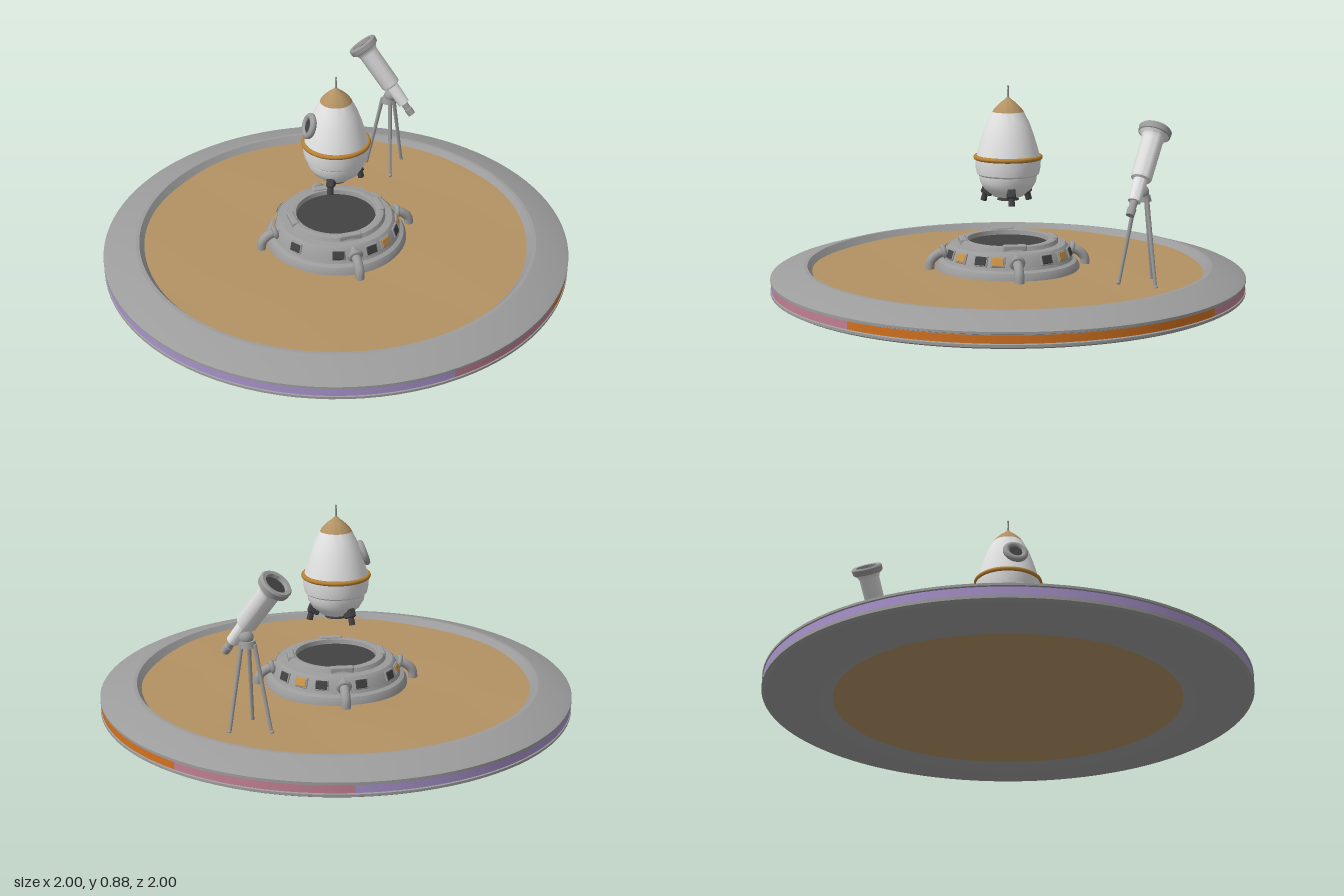
import * as THREE from 'three';
import { toCreasedNormals } from 'three/addons/utils/BufferGeometryUtils.js';
import { RoundedBoxGeometry } from 'three/addons/geometries/RoundedBoxGeometry.js';

const mat = (name, color, side = THREE.FrontSide) => {
  const m = new THREE.MeshStandardMaterial({ color, side });
  m.name = name;
  return m;
};
const rad = THREE.MathUtils.degToRad;

export function createModel() {
  const root = new THREE.Group();
  root.name = 'moonBase';
  const grey = mat('grey metal', 0x9c9c9c);
  const white = mat('white paint', 0xe2e2e2);
  const tan = mat('sand', 0xb39263);
  const dark = mat('dark glass', 0x424242);
  const gold = mat('gold trim', 0xb98235);
  const amber = mat('lit window', 0xc99447);
  const orange = mat('orange light', 0xd2711f);
  const pink = mat('pink light', 0xc17f90);
  const purple = mat('purple light', 0xa792cb);

  const add = (parent, name, geo, material, pos = [0, 0, 0]) => {
    const m = new THREE.Mesh(geo, material);
    m.name = name;
    m.position.set(...pos);
    parent.add(m);
    return m;
  };
  const group = (parent, name) => {
    const g = new THREE.Group();
    g.name = name;
    parent.add(g);
    return g;
  };
  const lathe = (pts, seg = 48, crease = 0.5) => toCreasedNormals(
    new THREE.LatheGeometry(pts.map(p => new THREE.Vector2(...p)), seg), crease);
  // Straight rod between two points
  const rod = (parent, name, a, b, r0, r1, material) => {
    const A = new THREE.Vector3(...a), B = new THREE.Vector3(...b);
    const m = add(parent, name, new THREE.CylinderGeometry(r1, r0, A.distanceTo(B), 10), material);
    m.position.copy(A).lerp(B, 0.5);
    m.quaternion.setFromUnitVectors(new THREE.Vector3(0, 1, 0), B.sub(A).normalize());
    return m;
  };

  // Platform rim with a groove around its edge
  const platform = group(root, 'platform');
  add(platform, 'rim', lathe([
    [0.70, 0.035], [0.77, 0], [0.82, 0.002], [0.985, 0.026], [1, 0.034], [1, 0.044],
    [0.992, 0.047], [0.992, 0.08], [1, 0.083], [1, 0.092], [0.985, 0.1],
    [0.86, 0.137], [0.845, 0.137], [0.815, 0.1],
  ], 96, 0.25), grey);

  // Light strips in the groove, angles measured from the front towards the left
  [[orange, 45, 135], [pink, 10, 45], [pink, 135, 177], [purple, 177, 370]].forEach(([m, a, b]) =>
    add(platform, 'lightStrip', new THREE.CylinderGeometry(0.997, 0.997, 0.031, Math.ceil((b - a) / 3), 1, true,
      rad(a), rad(b - a)), m, [0, 0.0635, 0]));

  // Gently rolling sand
  const sand = new THREE.RingGeometry(0.001, 0.826, 80, 18);
  sand.rotateX(-Math.PI / 2);
  const p = sand.attributes.position;
  for (let i = 0; i < p.count; i++) {
    const x = p.getX(i), z = p.getZ(i);
    p.setY(i, 0.112 + 0.004 * Math.sin(5 * x + 2 * z) * Math.cos(7 * z - 3 * x));
  }
  sand.computeVertexNormals();
  add(platform, 'sandSurface', sand, tan);
  const under = new THREE.CircleGeometry(0.72, 72);
  under.rotateX(Math.PI / 2);
  add(platform, 'underside', under, tan, [0, 0.028, 0]);

  // Landing base with an open top
  const base = group(root, 'landingBase');
  add(base, 'shell', lathe([
    [0.305, 0.1], [0.303, 0.125], [0.292, 0.143], [0.275, 0.15], [0.268, 0.165], [0.255, 0.204],
    [0.242, 0.215], [0.212, 0.218], [0.204, 0.234], [0.19, 0.238], [0.172, 0.234], [0.166, 0.19],
  ], 56, 0.6), grey);
  const well = new THREE.CircleGeometry(0.17, 48);
  well.rotateX(-Math.PI / 2);
  add(base, 'wellFloor', well, dark, [0, 0.215, 0]);

  const windowGeo = new RoundedBoxGeometry(0.05, 0.036, 0.009, 2, 0.004);
  const frameGeo = new RoundedBoxGeometry(0.06, 0.046, 0.009, 2, 0.004);
  const addWindow = (deg, m) => {
    const g = group(base, 'window');
    g.rotation.y = rad(deg);
    const frame = add(g, 'windowFrame', frameGeo, grey, [0, 0.185, 0.262]);
    const pane = add(g, 'windowPane', windowGeo, m, [0, 0.186, 0.265]);
    frame.rotation.x = pane.rotation.x = -0.32;
  };
  [-57, -15, 17, 57, 119, 160, 196, 231].forEach(a => addWindow(a, dark));
  [35, 73, 140, 250].forEach(a => addWindow(a, amber));

  // Curved support pipes and rim clamps, one on each side
  const pipeCurve = new THREE.CatmullRomCurve3([
    [0.335, 0.1], [0.328, 0.145], [0.3, 0.172], [0.262, 0.185], [0.225, 0.2],
  ].map(([z, y]) => new THREE.Vector3(0, y, z)));
  const pipeGeo = new THREE.TubeGeometry(pipeCurve, 18, 0.02, 12);
  for (let i = 0; i < 4; i++) {
    const g = group(base, 'support');
    g.rotation.y = i * Math.PI / 2;
    add(g, 'supportPipe', pipeGeo, grey);
    const collar = add(g, 'pipeCollar', new THREE.TorusGeometry(0.022, 0.011, 8, 18), grey, [0, 0.182, 0.272]);
    collar.rotation.x = 0.3;
    add(g, 'rimClamp', new RoundedBoxGeometry(0.1, 0.03, 0.03, 2, 0.008), grey, [0, 0.229, 0.193]);
  }

  // Hovering rocket
  const rocket = group(root, 'rocket');
  add(rocket, 'lowerHull', lathe([
    [0, 0.415], [0.065, 0.417], [0.078, 0.43], [0.1, 0.447], [0.118, 0.478], [0.122, 0.505],
    [0.131, 0.512], [0.137, 0.54], [0.138, 0.578],
  ]), white);
  add(rocket, 'upperHull', lathe([
    [0.136, 0.575], [0.131, 0.595], [0.122, 0.63], [0.108, 0.675], [0.09, 0.725], [0.066, 0.772],
  ]), white);
  add(rocket, 'noseCone', lathe([
    [0.067, 0.77], [0.058, 0.785], [0.035, 0.808], [0.014, 0.824], [0.007, 0.832], [0, 0.833],
  ]), tan);
  add(rocket, 'antenna', new THREE.CylinderGeometry(0.003, 0.004, 0.055, 8), grey, [0, 0.855, 0]);
  add(rocket, 'antennaTip', new THREE.SphereGeometry(0.005, 10, 8), grey, [0, 0.878, 0]);
  const belt = add(rocket, 'belt', new THREE.TorusGeometry(0.136, 0.01, 10, 56), gold, [0, 0.582, 0]);
  belt.rotation.x = Math.PI / 2;
  add(rocket, 'nozzle', lathe([[0, 0.402], [0.046, 0.4], [0.04, 0.43]], 24), dark);

  // Three stubby landing legs
  for (let i = 0; i < 3; i++) {
    const g = group(rocket, 'landingLeg');
    g.rotation.y = rad(90 + i * 120);
    const hip = add(g, 'legHip', new RoundedBoxGeometry(0.034, 0.042, 0.05, 2, 0.008), dark, [0, 0.436, 0.092]);
    hip.rotation.x = -0.4;
    rod(g, 'legFoot', [0, 0.44, 0.1], [0, 0.39, 0.112], 0.011, 0.014, dark);
  }

  // Porthole on the right flank, tilted with the hull
  const porthole = group(rocket, 'porthole');
  porthole.position.set(-0.112, 0.672, 0);
  porthole.quaternion.setFromUnitVectors(new THREE.Vector3(0, 0, 1), new THREE.Vector3(-0.94, 0.34, 0).normalize());
  add(porthole, 'portholeRing', new THREE.TorusGeometry(0.041, 0.014, 12, 32), grey, [0, 0, 0.004]);
  add(porthole, 'portholeGlass', new THREE.CircleGeometry(0.04, 32), dark, [0, 0, 0.009]);

  // Telescope: the tube is turned around its axis, from eyepiece to mouth
  const telescope = group(root, 'telescope');
  const tube = group(telescope, 'tube');
  tube.position.set(0.49, 0.41, -0.415);
  tube.quaternion.setFromUnitVectors(new THREE.Vector3(0, 1, 0), new THREE.Vector3(-0.2, 0.325, -0.15).normalize());
  add(tube, 'eyepiece', lathe([
    [0, 0], [0.017, 0], [0.018, 0.03], [0.015, 0.033], [0.016, 0.08],
  ], 24), grey);
  add(tube, 'barrel', lathe([
    [0, 0.062], [0.026, 0.063], [0.029, 0.16], [0.04, 0.165], [0.043, 0.172], [0.044, 0.345],
    [0.05, 0.36], [0.064, 0.372],
  ], 32), white);
  add(tube, 'mouthRim', lathe([
    [0.05, 0.362], [0.066, 0.373], [0.068, 0.395], [0.062, 0.402], [0.047, 0.4], [0.043, 0.375],
  ], 32), grey);
  const lens = new THREE.CircleGeometry(0.05, 32);
  lens.rotateX(-Math.PI / 2);
  add(tube, 'lens', lens, dark, [0, 0.385, 0]);

  // Tripod
  const hub = [0.405, 0.465, -0.485];
  add(telescope, 'tripodHead', new THREE.CylinderGeometry(0.03, 0.036, 0.025, 18), grey, hub);
  add(telescope, 'tripodMount', new THREE.SphereGeometry(0.03, 16, 12), grey, [0.41, 0.488, -0.48]);
  [[0.485, -0.525], [0.385, -0.395], [0.32, -0.55]].forEach(([x, z]) => {
    const top = [hub[0] + (x - hub[0]) * 0.3, hub[1], hub[2] + (z - hub[2]) * 0.3];
    rod(telescope, 'tripodLeg', [x, 0.105, z], top, 0.007, 0.009, grey);
    add(telescope, 'tripodFoot', new THREE.SphereGeometry(0.009, 10, 8), grey, [x, 0.116, z]);
  });

  return root;
}
